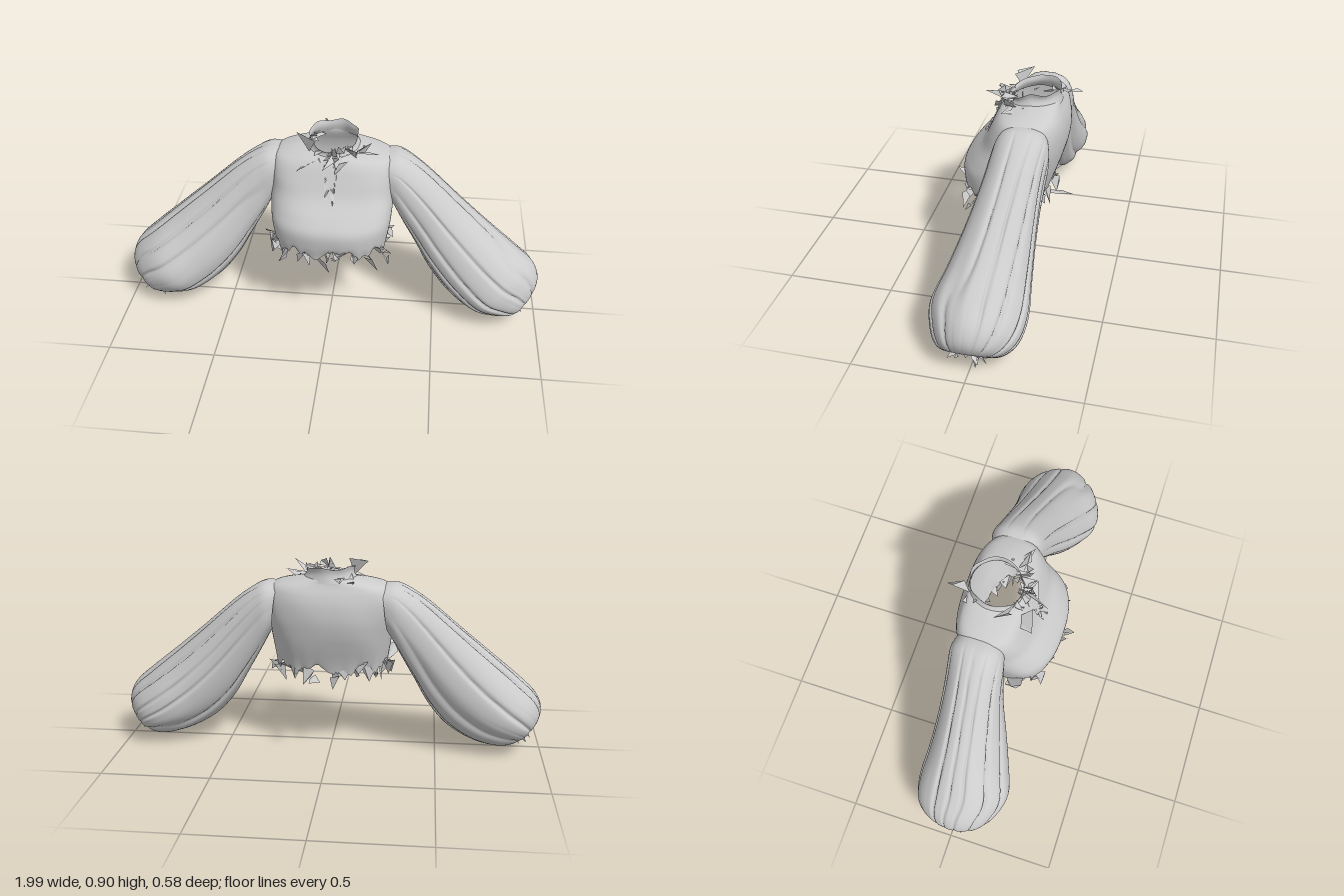
import * as THREE from 'three';

const material = new THREE.MeshStandardMaterial({ color: 0xcccccc, side: THREE.DoubleSide });
const { sin, cos, abs, pow, sign, PI, min, max } = Math;

// Small seeded random source for the torn scraps
let seed = 7;
const rnd = (a = 0, b = 1) => {
  seed = (seed * 16807) % 2147483647;
  return a + (b - a) * (seed / 2147483647);
};

// Squared-off sine or cosine for superellipse cross-sections
const square = (v, n) => sign(v) * pow(abs(v), 2 / n);

// Smooth interpolation through rows of numbers, t in 0..1
function sample(rows, t) {
  const f = t * (rows.length - 1), i = min(Math.floor(f), rows.length - 2), k = f - i;
  const at = (n) => rows[max(0, min(rows.length - 1, n))];
  return rows[0].map((_, c) => {
    const [p, q, r, s] = [at(i - 1)[c], at(i)[c], at(i + 1)[c], at(i + 2)[c]];
    return q + 0.5 * k * (r - p + k * (2 * p - 5 * q + 4 * r - s + k * (3 * (q - r) + s - p)));
  });
}

// Closed cross-sections skinned into a tube; point(a, t) gives [x, y, z]
function loft(name, around, along, point) {
  const pos = [], index = [];
  for (let j = 0; j <= along; j++)
    for (let i = 0; i < around; i++) pos.push(...point((i / around) * 2 * PI, j / along));
  for (let j = 0; j < along; j++)
    for (let i = 0; i < around; i++) {
      const a = j * around + i, b = j * around + ((i + 1) % around);
      index.push(a, b, a + around, b, b + around, a + around);
    }
  const g = new THREE.BufferGeometry();
  g.setAttribute('position', new THREE.Float32BufferAttribute(pos, 3));
  g.setIndex(index);
  g.computeVertexNormals();
  const mesh = new THREE.Mesh(g, material);
  mesh.name = name;
  return mesh;
}

// Torn cloth: each scrap is a folded pair of triangles [root, tip, width]
function scraps(name, list) {
  const pos = [];
  for (const [root, tip, w] of list) {
    const r = new THREE.Vector3(...root), t = new THREE.Vector3(...tip);
    const side = () => new THREE.Vector3(rnd(-1, 1), rnd(-0.5, 0.5), rnd(-1, 1)).normalize().multiplyScalar(w);
    const s = side(), a = r.clone().add(s), b = r.clone().sub(s);
    const c = r.clone().lerp(t, 0.35).add(side());
    for (const p of [a, b, t, a, t, c]) pos.push(p.x, p.y, p.z);
  }
  const g = new THREE.BufferGeometry();
  g.setAttribute('position', new THREE.Float32BufferAttribute(pos, 3));
  g.computeVertexNormals();
  const mesh = new THREE.Mesh(g, material);
  mesh.name = name;
  return mesh;
}

// Bodice rows: y, half width, back z, front z, squareness
const bodiceRows = [
  [0.415, 0.262, -0.165, 0.225, 2.7], [0.46, 0.27, -0.18, 0.238, 2.7], [0.53, 0.28, -0.205, 0.239, 2.7],
  [0.59, 0.285, -0.222, 0.202, 2.7], [0.66, 0.285, -0.232, 0.143, 2.9], [0.73, 0.285, -0.23, 0.108, 3.1],
  [0.78, 0.28, -0.22, 0.085, 3], [0.812, 0.262, -0.208, 0.068, 2.7], [0.834, 0.2, -0.2, 0.055, 2.3], [0.85, 0.12, -0.198, 0.042, 2],
];
const hemJag = (a) => 0.018 * sin(9 * a) + 0.014 * sin(23 * a + 1);
function bodicePoint(a, t) {
  const [y, w, back, front, n] = sample(bodiceRows, t);
  const x = w * square(sin(a), n);
  const z = (front + back) / 2 + ((front - back) / 2) * square(cos(a), n);
  const wave = 0.003 * sin(5 * a + 9 * t) * sin(PI * t);
  // The neckline dips at the front
  const dip = 0.02 * pow(t, 6) * max(0, cos(a));
  return [x * (1 + wave), y + hemJag(a) * pow(1 - t, 14) - dip, z * (1 + 4 * wave)];
}

// Sleeve rows: outer edge x, y, under edge x, y, back z, front z, squareness
const sleeveRows = [
  [0.24, 0.812, 0.265, 0.6, -0.19, 0.035, 2.6], [0.3, 0.817, 0.29, 0.56, -0.2, 0.048, 2.6],
  [0.36, 0.792, 0.333, 0.48, -0.197, 0.06, 2.5], [0.45, 0.73, 0.395, 0.37, -0.193, 0.08, 2.3],
  [0.6, 0.602, 0.46, 0.255, -0.195, 0.12, 2.1], [0.75, 0.477, 0.548, 0.15, -0.203, 0.167, 2],
  [0.88, 0.368, 0.66, 0.075, -0.212, 0.21, 2], [0.965, 0.288, 0.765, 0.037, -0.195, 0.185, 1.9],
  [0.995, 0.21, 0.835, 0.03, -0.145, 0.145, 1.9], [0.97, 0.14, 0.865, 0.045, -0.08, 0.1, 2],
  [0.925, 0.115, 0.865, 0.07, -0.045, 0.06, 2], [0.9, 0.14, 0.85, 0.1, -0.035, 0.05, 2],
];
function sleevePoint(s, angle, t) {
  const a = s * angle, belly = sin(PI * t);
  const [ox, oy, ux, uy, back, front, n] = sample(sleeveRows, t);
  // Uneven sharp pleats run down the sleeve and tighten at the wrist
  const warp = a + 0.25 * sin(2 * a + 1 + s) + 0.1 * sin(5 * a + 2 * t) + 0.12 * sin(4 * t + s);
  const valley = pow(1 - abs(sin(warp * 5.5 + 0.4)), 4);
  const fine = pow(1 - abs(sin(a * 9 + 0.8 * sin(6 * t))), 3);
  const gather = pow(t, 6), free = min(1, max(0, 4 * t - 0.2));
  const sag = 0.018 * sin(3 * a + 9 * t + s) * belly;
  const r = 1.015 + sag - (0.085 * free + 0.1 * gather) * valley - 0.12 * gather * fine;
  // The right sleeve hangs a little fuller than the left
  const full = 1 - s * 0.06 * belly * max(0, -cos(a));
  const c = (square(cos(a), n) * r * full) / 2, mx = (ox + ux) / 2, my = (oy + uy) / 2;
  // Loose cloth swings forward on the underside
  const swing = -0.035 * belly * cos(a) * max(0, sin(a));
  return [
    s * min(1, mx + c * (ox - ux)), my + c * (oy - uy) - (s > 0 ? 0.012 * belly : 0),
    (front + back) / 2 + (square(sin(a), n) * r * (front - back)) / 2 + swing,
  ];
}

export function createModel() {
  seed = 7;
  const model = new THREE.Group();
  model.name = 'blouse';
  model.add(loft('bodice', 128, 48, bodicePoint));

  // Standing collar, lower at the front, with an uneven rim
  const collarRows = [[0.835, 0.13, 0.125], [0.86, 0.112, 0.118], [0.88, 0.107, 0.116], [0.9, 0.113, 0.12]];
  model.add(loft('collar', 64, 8, (a, t) => {
    const [y, rx, rz] = sample(collarRows, t);
    const k = 1 + 0.02 * sin(7 * a) * t;
    return [rx * k * sin(a), y + t * 0.005 * sin(5 * a) - (0.02 + 0.025 * t) * max(0, cos(a)), -0.08 + rz * k * cos(a)];
  }));

  // Puffed sleeves with torn cuffs
  for (const s of [1, -1]) {
    const sleeve = new THREE.Group();
    sleeve.name = s > 0 ? 'leftSleeve' : 'rightSleeve';
    sleeve.add(loft('puffedSleeve', 180, 64, (a, t) => sleevePoint(s, a, t)));
    const torn = [];
    for (let i = 0; i < 10; i++) {
      const a = (i / 10) * 2 * PI, l = rnd(0.02, 0.05);
      const p = [s * (0.895 + 0.03 * cos(a)), 0.085 + 0.02 * cos(a), 0.01 + 0.05 * sin(a)];
      torn.push([p, [p[0] + s * l * (0.4 + 0.5 * cos(a)), max(0.025, p[1] - l * 0.8), p[2] + l * sin(a)], rnd(0.015, 0.03)]);
    }
    if (s < 0) torn.push([[-0.89, 0.1, 0.04], [-0.985, 0.1, 0.05], 0.03], [[-0.87, 0.06, 0.03], [-0.84, 0.004, 0.085], 0.035]);
    else torn.push([[0.9, 0.13, 0.06], [0.93, 0.19, 0.1], 0.03], [[0.91, 0.09, -0.02], [0.94, 0.04, -0.03], 0.025]);
    sleeve.add(scraps('tornCuff', torn));
    model.add(sleeve);
  }

  // Ragged hem hanging from the bodice edge
  const hem = [];
  for (let i = 0; i < 30; i++) {
    const a = (i / 30) * 2 * PI + rnd(-0.08, 0.08);
    const [x, y, z] = bodicePoint(a, 0.01), l = rnd(0.02, 0.075), out = rnd(-0.03, 0.03);
    hem.push([[x, y + 0.01, z], [x + out * sin(a) + rnd(-0.04, 0.04), y - l, z + out * cos(a)], rnd(0.02, 0.045)]);
  }
  hem.push(
    [[-0.24, 0.42, 0.08], [-0.3, 0.48, 0.13], 0.05], [[-0.25, 0.4, 0.06], [-0.28, 0.33, 0.1], 0.05],
    [[-0.03, 0.37, 0.2], [0.0, 0.25, 0.14], 0.05], [[0.05, 0.38, -0.18], [0.08, 0.39, -0.28], 0.04],
    [[0.25, 0.4, 0.15], [0.28, 0.36, 0.19], 0.03], [[0.04, 0.42, 0.23], [0.04, 0.44, 0.29], 0.03],
  );
  model.add(scraps('raggedHem', hem));

  // Ragged collar edge, densest at the front
  const neck = [];
  for (let i = 0; i < 20; i++) {
    const a = i < 13 ? rnd(-0.9, 0.9) : rnd(0, 2 * PI), l = rnd(0.02, 0.06);
    const p = [0.115 * sin(a), rnd(0.82, 0.875), -0.08 + 0.12 * cos(a)];
    neck.push([p, [p[0] + l * sin(a), min(0.905, p[1] + rnd(-0.04, 0.04)), p[2] + l * cos(a)], rnd(0.018, 0.04)]);
  }
  neck.push(
    [[-0.09, 0.87, 0.02], [-0.17, 0.908, -0.04], 0.04], [[0.12, 0.84, 0.0], [0.22, 0.85, 0.03], 0.04],
    [[0.12, 0.85, 0.0], [0.18, 0.905, 0.02], 0.03], [[-0.05, 0.86, -0.2], [-0.06, 0.857, -0.29], 0.03],
    [[-0.08, 0.82, 0.07], [-0.15, 0.8, 0.13], 0.05], [[0.0, 0.85, 0.06], [-0.03, 0.83, 0.165], 0.05],
    [[0.0, 0.84, 0.05], [0.02, 0.9, 0.08], 0.04], [[0.05, 0.82, 0.07], [0.02, 0.78, 0.11], 0.04],
  );
  model.add(scraps('raggedCollar', neck));

  // Loose edges of the slit below the collar
  const placket = [];
  for (let i = 0; i < 12; i++) {
    const k = i / 11, y = 0.81 - 0.15 * k, z = 0.065 + 0.075 * k;
    const x = (i % 2 ? 0.02 : -0.02) * (1 - 0.5 * k);
    placket.push([[x, y, z], [x * 1.6, y - 0.025, z + 0.018], 0.014]);
  }
  model.add(scraps('frontPlacket', placket));
  return model;
}
